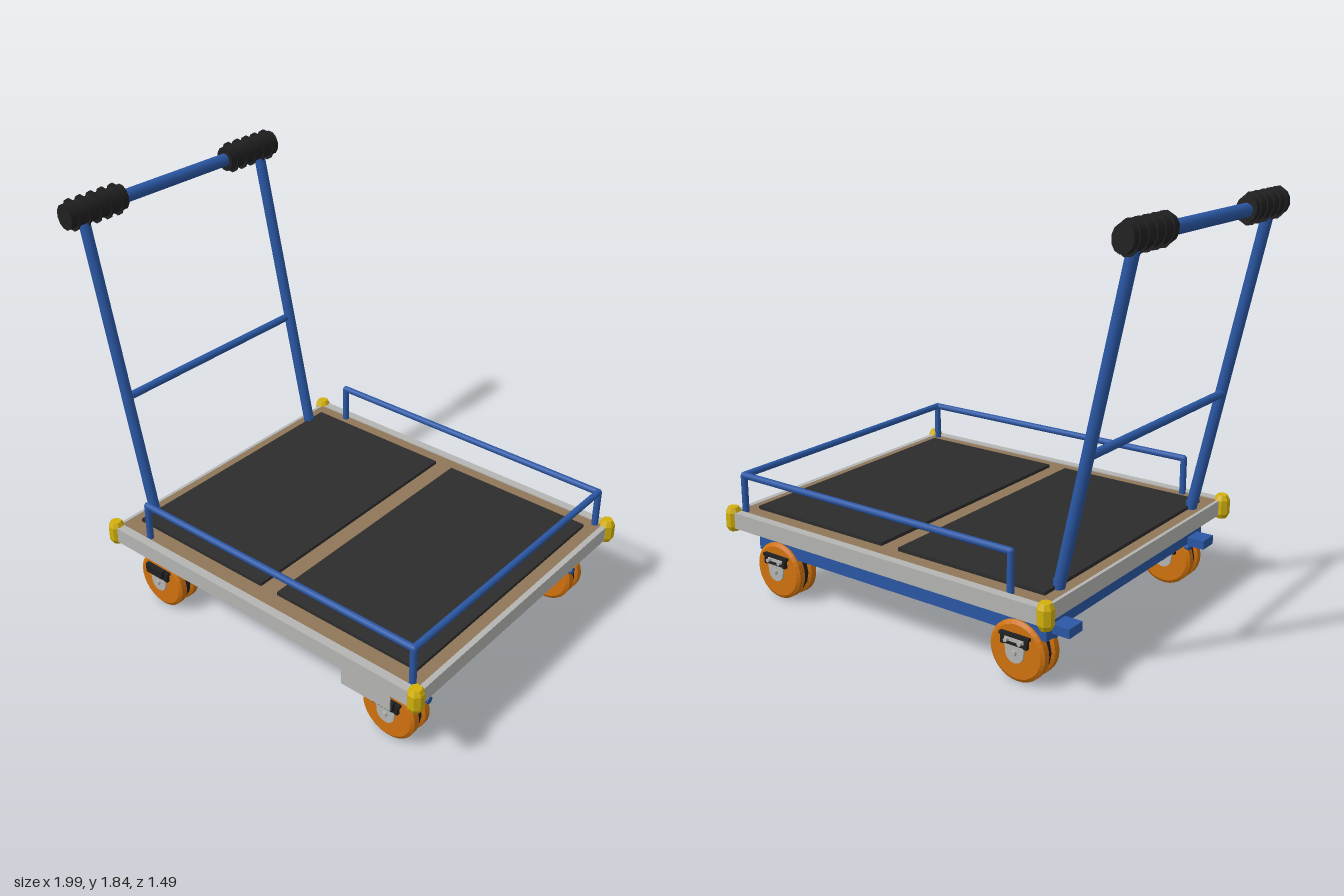
import * as THREE from 'three';

const mat = (name, color) => {
  const m = new THREE.MeshStandardMaterial({ color });
  m.name = name;
  return m;
};

export function createModel() {
  const root = new THREE.Group();
  root.name = 'platformTrolley';

  const blue = mat('blue paint', 0x2a57a4);
  const metal = mat('aluminium', 0xb4b4b2);
  const wood = mat('plywood', 0x8f7658);
  const rubber = mat('rubber mat', 0x2c2c2c);
  const black = mat('black plastic', 0x202020);
  const orange = mat('orange tyre', 0xd0720e);
  const yellow = mat('yellow bumper', 0xd2b00a);

  const add = (name, geo, material, x = 0, y = 0, z = 0, parent = root) => {
    const mesh = new THREE.Mesh(geo, material);
    mesh.name = name;
    mesh.position.set(x, y, z);
    parent.add(mesh);
    return mesh;
  };
  // Box given by its lower and upper corners
  const box = (name, material, [x0, y0, z0], [x1, y1, z1], parent = root) =>
    add(name, new THREE.BoxGeometry(x1 - x0, y1 - y0, z1 - z0), material,
      (x0 + x1) / 2, (y0 + y1) / 2, (z0 + z1) / 2, parent);
  // Round bar between two points
  const bar = (name, material, a, b, r, parent = root) => {
    const from = new THREE.Vector3(...a), to = new THREE.Vector3(...b);
    const dir = to.clone().sub(from);
    const mid = from.clone().add(to).multiplyScalar(0.5);
    const mesh = add(name, new THREE.CylinderGeometry(r, r, dir.length(), 16), material, mid.x, mid.y, mid.z, parent);
    mesh.quaternion.setFromUnitVectors(new THREE.Vector3(0, 1, 0), dir.normalize());
    return mesh;
  };

  // Deck board, rubber mats and aluminium edging
  box('deckBoard', wood, [-0.7, 0.34, -0.69], [0.955, 0.4, 0.69]);
  box('rearMat', rubber, [-0.65, 0.4, -0.62], [0.08, 0.415, 0.615]);
  box('frontMat', rubber, [0.17, 0.4, -0.62], [0.895, 0.415, 0.615]);
  for (const s of [-1, 1]) {
    const z = s * 0.71;
    box('sideEdging', metal, [-0.715, 0.332, z - 0.02], [0.96, 0.405, z + 0.02]);
  }
  box('frontEdging', metal, [0.95, 0.332, -0.69], [0.975, 0.402, 0.69]);
  box('rearEdging', metal, [-0.715, 0.332, -0.69], [-0.7, 0.402, 0.69]);
  box('namePlate', metal, [0.6, 0.24, 0.71], [0.845, 0.335, 0.716]);

  // Corner bumpers
  const bumperProfile = [[0, -0.055], [0.024, -0.055], [0.036, -0.032], [0.036, 0.032], [0.024, 0.055], [0, 0.055]]
    .map(([x, y]) => new THREE.Vector2(x, y));
  const bumperGeo = new THREE.LatheGeometry(bumperProfile, 8, Math.PI / 8).toNonIndexed();
  bumperGeo.computeVertexNormals();
  for (const x of [-0.715, 0.963]) for (const z of [-0.71, 0.71]) {
    add('cornerBumper', bumperGeo, yellow, x, 0.37, z);
  }

  // Under-frame: two long beams, three cross beams, lower tubes and rear stubs
  for (const s of [-1, 1]) {
    box('longBeam', blue, [-0.66, 0.21, s * 0.58 - 0.042], [0.9, 0.335, s * 0.58 + 0.042]);
    bar('lowerTube', blue, [-0.65, 0.207, s * 0.54], [0.91, 0.207, s * 0.54], 0.016);
    box('rearStub', blue, [-0.74, 0.232, s * 0.54 - 0.045], [-0.65, 0.272, s * 0.54 + 0.045]);
  }
  for (const [x, w] of [[-0.61, 0.1], [0.125, 0.1], [0.85, 0.1]]) {
    box('crossBeam', blue, [x - w / 2, 0.24, -0.545], [x + w / 2, 0.335, 0.545]);
  }

  // Guard rail around three sides
  const railY = 0.57, railX = 0.92, railZ = 0.675, railR = 0.015;
  const joint = new THREE.SphereGeometry(railR, 12, 8);
  for (const s of [-1, 1]) {
    const z = s * railZ;
    bar('sideRail', blue, [-0.53, railY, z], [railX, railY, z], railR);
    for (const x of [-0.53, railX]) {
      bar('railPost', blue, [x, 0.39, z], [x, railY, z], railR);
      add('railJoint', joint, blue, x, railY, z);
    }
  }
  bar('endRail', blue, [railX, railY, -railZ], [railX, railY, railZ], railR);

  // Push handle leaning backwards
  const topX = -0.95, topY = 1.775;
  for (const s of [-1, 1]) {
    const z = s * 0.53;
    bar('handlePost', blue, [-0.652, 0.4, z], [topX, topY, z], 0.025);
    bar('handleSocket', blue, [-0.652, 0.33, z], [-0.652, 0.435, z], 0.023);
  }
  bar('handleCrossbar', blue, [-0.78, 0.955, -0.53], [-0.78, 0.955, 0.53], 0.018);
  bar('handleTopBar', blue, [topX, topY, -0.6], [topX, topY, 0.6], 0.029);

  // Ribbed oval grips
  const gripBody = new THREE.CylinderGeometry(0.05, 0.05, 0.31, 12).rotateX(Math.PI / 2).scale(0.92, 1.12, 1);
  const gripRib = new THREE.CylinderGeometry(0.05, 0.05, 0.009, 12).rotateX(Math.PI / 2).scale(0.98, 1.4, 1);
  for (const s of [-1, 1]) {
    const grip = new THREE.Group();
    grip.name = 'handGrip';
    grip.position.set(topX, 1.778, s * 0.465);
    grip.rotation.z = 0.2;
    add('gripBody', gripBody, black, 0, 0, 0, grip);
    for (let i = -2; i <= 2; i++) add('gripRib', gripRib, black, 0, 0, i * 0.0585, grip);
    root.add(grip);
  }

  // Twin-wheel casters
  const tyreProfile = [[0.035, -0.024], [0.115, -0.024], [0.13, -0.014], [0.13, 0.014], [0.115, 0.024], [0.035, 0.024]]
    .map(([x, y]) => new THREE.Vector2(x, y));
  const tyreGeo = new THREE.LatheGeometry(tyreProfile, 32).rotateX(Math.PI / 2).toNonIndexed();
  tyreGeo.computeVertexNormals();
  // Tapered side plate of the fork
  const forkShape = new THREE.Shape();
  forkShape.moveTo(-0.05, 0.06);
  forkShape.lineTo(-0.043, 0);
  forkShape.absarc(0, 0, 0.043, Math.PI, Math.PI * 2, false);
  forkShape.lineTo(0.05, 0.06);
  const forkGeo = new THREE.ExtrudeGeometry(forkShape, { depth: 0.008, bevelEnabled: false, curveSegments: 10 });
  forkGeo.translate(0, 0, -0.004);

  for (const x of [-0.53, 0.775]) for (const z of [-0.58, 0.58]) {
    const caster = new THREE.Group();
    caster.name = 'caster';
    caster.position.set(x, 0.138, z);
    for (const s of [-1, 1]) {
      add('tyre', tyreGeo, orange, 0, 0, s * 0.035, caster);
      add('forkPlate', forkGeo, metal, 0, 0, s * 0.068, caster);
      box('forkBracket', black, [-0.062, 0.035, s * 0.07 - 0.009], [0.062, 0.045, s * 0.07 + 0.009], caster);
      box('topBracket', black, [-0.07, 0.066, s * 0.066 - 0.012], [0.07, 0.078, s * 0.066 + 0.012], caster);
      for (const bx of [-0.055, 0.055]) {
        box('bracketStrut', black, [bx - 0.008, 0.03, s * 0.069 - 0.008], [bx + 0.008, 0.078, s * 0.069 + 0.008], caster);
        bar('bracketBolt', metal, [bx * 0.6, 0.052, s * 0.062], [bx * 0.6, 0.052, s * 0.09], 0.008, caster);
      }
    }
    bar('hubSpacer', black, [0, 0, -0.062], [0, 0, 0.062], 0.036, caster);
    bar('wheelCore', black, [0, 0, -0.012], [0, 0, 0.012], 0.118, caster);
    bar('axle', metal, [0, 0, -0.085], [0, 0, 0.085], 0.012, caster);
    box('brakePedal', black, [-0.05, 0.052, 0.07], [0.05, 0.09, 0.095], caster);
    box('swivelPlate', blue, [-0.08, 0.08, -0.045], [0.08, 0.092, 0.045], caster);
    root.add(caster);
  }

  return root;
}
